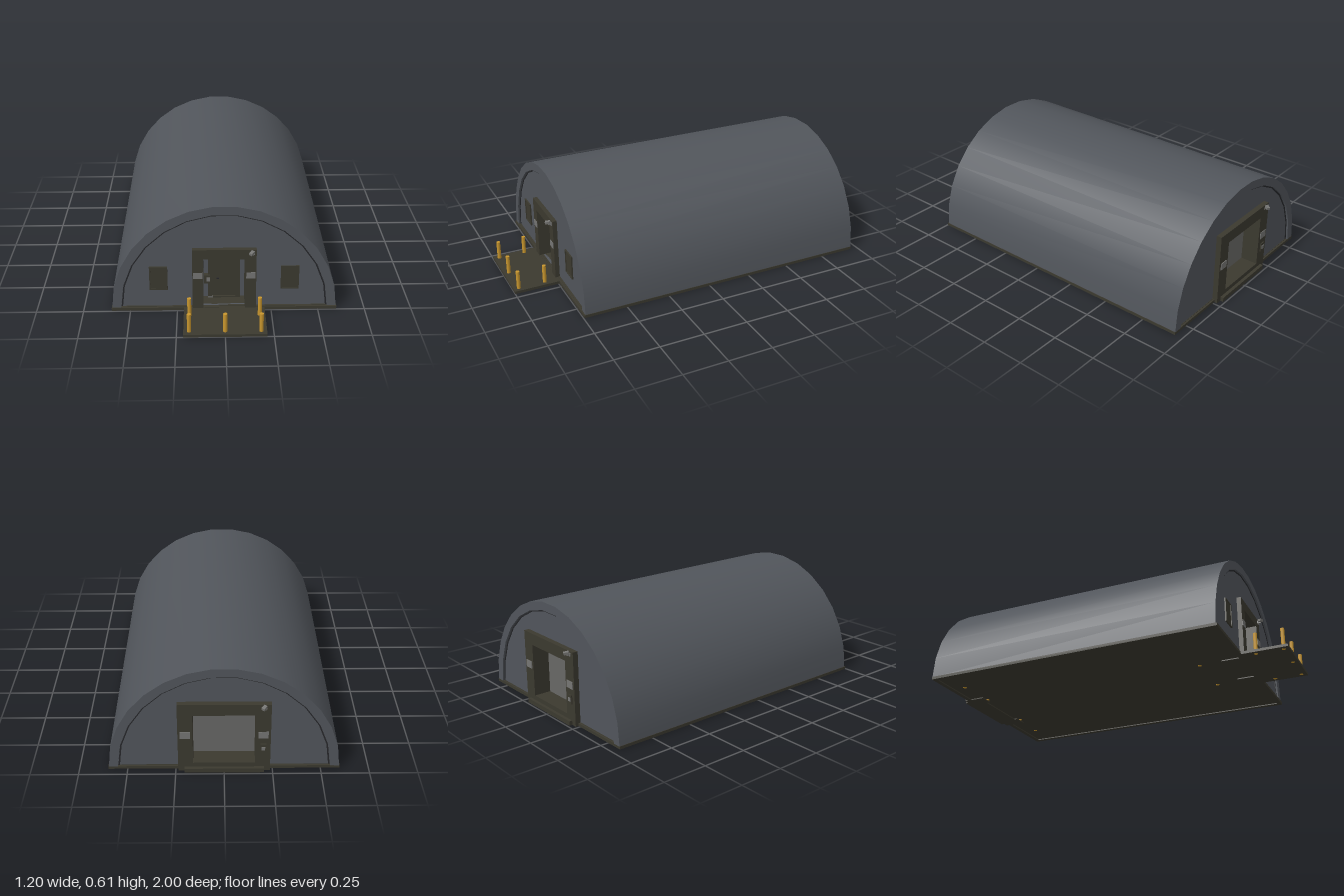
import * as THREE from 'three';
import { toCreasedNormals } from 'three/addons/utils/BufferGeometryUtils.js';

const mat = (name, color) => {
  const m = new THREE.MeshStandardMaterial({ color });
  m.name = name;
  return m;
};

export function createModel() {
  const root = new THREE.Group();
  root.name = 'archedHangar';
  const shellGrey = mat('shellGrey', 0x51555b);
  const darkOlive = mat('darkOlive', 0x3b392f);
  const gapBlack = mat('gapBlack', 0x26272a);
  const lightGrey = mat('lightGrey', 0x757573);
  const doorGrey = mat('doorGrey', 0x676765);
  const yellow = mat('safetyYellow', 0xc8962e);

  const add = (name, geo, m, parent = root) => {
    const mesh = new THREE.Mesh(geo, m);
    mesh.name = name;
    parent.add(mesh);
    return mesh;
  };
  // Box given by its limits on each axis
  const box = (name, m, x0, x1, y0, y1, z0, z1, parent) => {
    const mesh = add(name, new THREE.BoxGeometry(x1 - x0, y1 - y0, z1 - z0), m, parent);
    mesh.position.set((x0 + x1) / 2, (y0 + y1) / 2, (z0 + z1) / 2);
    return mesh;
  };
  const extrude = (shape, z0, z1) =>
    new THREE.ExtrudeGeometry(shape, { depth: z1 - z0, bevelEnabled: false }).translate(0, 0, z0);

  const FLOOR = 0.018;
  // Half circle of straight segments, standing on the floor slab
  const arc = (r, n) => Array.from({ length: n + 1 }, (_, i) => {
    const a = (Math.PI * i) / n;
    return new THREE.Vector2(r * Math.cos(a), FLOOR - 0.004 + r * Math.sin(a));
  });
  const archRing = (outer, nOuter, inner, nInner) =>
    new THREE.Shape([...arc(outer, nOuter), ...arc(inner, nInner).reverse()]);
  const rect = (x0, x1, y0, y1, Type = THREE.Shape) => new Type([
    new THREE.Vector2(x0, y0), new THREE.Vector2(x1, y0),
    new THREE.Vector2(x1, y1), new THREE.Vector2(x0, y1)]);

  // Floor slab: raised plate with a lower rim round the underside
  box('floorPlate', darkOlive, -0.59, 0.59, 0.006, FLOOR, -0.945, 0.735);
  const rim = rect(-0.6, 0.6, -0.745, 0.955);
  rim.holes.push(rect(-0.575, 0.575, -0.72, 0.93, THREE.Path));
  add('floorRim', extrude(rim, 0, FLOOR - 0.002).rotateX(-Math.PI / 2), darkOlive);
  box('porchSlab', darkOlive, -0.215, 0.215, 0, 0.015, 0.74, 1);

  // Vaulted shell, with recessed end walls and a dark seam along each wall
  add('vaultShell', toCreasedNormals(extrude(archRing(0.597, 15, 0.55, 13), -0.955, 0.738), 0.5), shellGrey);
  const wall = (name, hw, top, z0, z1) => {
    const s = new THREE.Shape(arc(0.552, 13));
    s.holes.push(rect(-hw, hw, FLOOR, top, THREE.Path));
    add(name, extrude(s, z0, z1), shellGrey);
  };
  wall('frontWall', 0.14, 0.34, 0.71, 0.725);
  wall('backWall', 0.2, 0.38, -0.942, -0.927);
  const seam = archRing(0.549, 13, 0.541, 13);
  add('frontSeam', extrude(seam, 0.724, 0.728), gapBlack);
  add('backSeam', extrude(seam, -0.945, -0.941), gapBlack);

  // Deep door surround, open at the bottom
  const surround = (name, hw, top, ihw, itop, z0, z1) => {
    const s = new THREE.Shape();
    [[-hw, 0], [-ihw, 0], [-ihw, itop], [ihw, itop], [ihw, 0], [hw, 0], [hw, top], [-hw, top]]
      .forEach(([x, y], i) => (i ? s.lineTo(x, y) : s.moveTo(x, y)));
    add(name, extrude(s, z0, z1), darkOlive);
  };

  // Security camera pointing along +z, mounted at the origin
  const camera = (name, x, y, z, turn) => {
    const g = new THREE.Group();
    g.name = name;
    box('cameraMount', lightGrey, -0.01, 0.01, -0.012, 0.006, 0, 0.006, g);
    box('cameraArm', lightGrey, -0.004, 0.004, -0.008, 0, 0, 0.018, g);
    const body = box('cameraBody', lightGrey, -0.009, 0.009, -0.007, 0.007, -0.014, 0.014, g);
    body.position.set(-0.006, 0.006, 0.018);
    body.rotation.set(0.25, -0.6, 0);
    g.position.set(x, y, z);
    g.rotation.y = turn;
    root.add(g);
  };

  // Front entrance
  surround('frontDoorSurround', 0.168, 0.366, 0.11, 0.31, 0.62, 0.75);
  box('entranceBackWall', shellGrey, -0.112, 0.112, FLOOR, 0.312, 0.62, 0.635);
  const frame = rect(-0.085, 0.087, FLOOR, 0.265);
  frame.holes.push(rect(-0.065, 0.062, 0.026, 0.25, THREE.Path));
  add('frontDoorFrame', extrude(frame, 0.63, 0.65), darkOlive);
  box('frontDoor', darkOlive, -0.065, 0.062, 0.026, 0.25, 0.632, 0.64);
  box('doorHandle', gapBlack, -0.04, -0.025, 0.132, 0.138, 0.64, 0.648);
  box('doorPlate', doorGrey, -0.085, -0.06, 0.018, 0.028, 0.648, 0.653);
  box('entryPanel', darkOlive, -0.107, -0.074, 0.112, 0.162, 0.635, 0.66);
  box('entryKeypad', lightGrey, -0.094, -0.076, 0.128, 0.148, 0.659, 0.664);
  camera('frontCamera', 0.148, 0.35, 0.75, 0);

  // Loading door at the back
  surround('backDoorSurround', 0.237, 0.41, 0.16, 0.345, -0.972, -0.85);
  box('loadingDoor', doorGrey, -0.162, 0.162, FLOOR, 0.347, -0.875, -0.86);
  box('loadingThreshold', darkOlive, -0.162, 0.162, 0, 0.05, -0.972, -0.87);
  box('loadingSill', darkOlive, -0.205, 0.205, 0, 0.025, -0.99, -0.96);
  box('backPanel', darkOlive, -0.215, -0.185, 0.12, 0.17, -0.978, -0.97);
  box('backKeypad', lightGrey, -0.209, -0.191, 0.135, 0.155, -0.982, -0.977);
  camera('backCamera', -0.205, 0.395, -0.968, Math.PI);

  for (const s of [-1, 1]) {
    // Pale plates on the jambs
    const fx = s * 0.139, bx = s * 0.199;
    box('frontJambPlate', lightGrey, fx - 0.024, fx + 0.024, 0.195, 0.232, 0.748, 0.753);
    box('backJambPlate', lightGrey, bx - 0.026, bx + 0.026, 0.205, 0.245, -0.976, -0.97);
    // Shuttered front windows
    const wx = s * 0.347;
    const win = rect(wx - 0.048, wx + 0.048, 0.12, 0.257);
    win.holes.push(rect(wx - 0.041, wx + 0.041, 0.127, 0.25, THREE.Path));
    add('windowFrame', extrude(win, 0.722, 0.733), darkOlive);
    box('windowShutter', darkOlive, wx - 0.041, wx + 0.041, 0.127, 0.25, 0.724, 0.729);
  }

  // Safety posts on the porch and inside both doors, showing under the floor
  const posts = [[-0.185, 0.82], [0.185, 0.82], [-0.185, 0.97], [0.185, 0.97], [0, 0.97],
    [-0.15, 0.49], [0.15, 0.49], [-0.41, -0.86], [-0.19, -0.845], [0.19, -0.845], [0.41, -0.86]];
  for (const [x, z] of posts) {
    const y0 = z > 0.75 ? -0.0005 : 0.004;
    const post = add('safetyPost', new THREE.CylinderGeometry(0.011, 0.011, 0.12 - y0, 10), yellow);
    post.position.set(x, (0.12 + y0) / 2, z);
  }
  return root;
}
